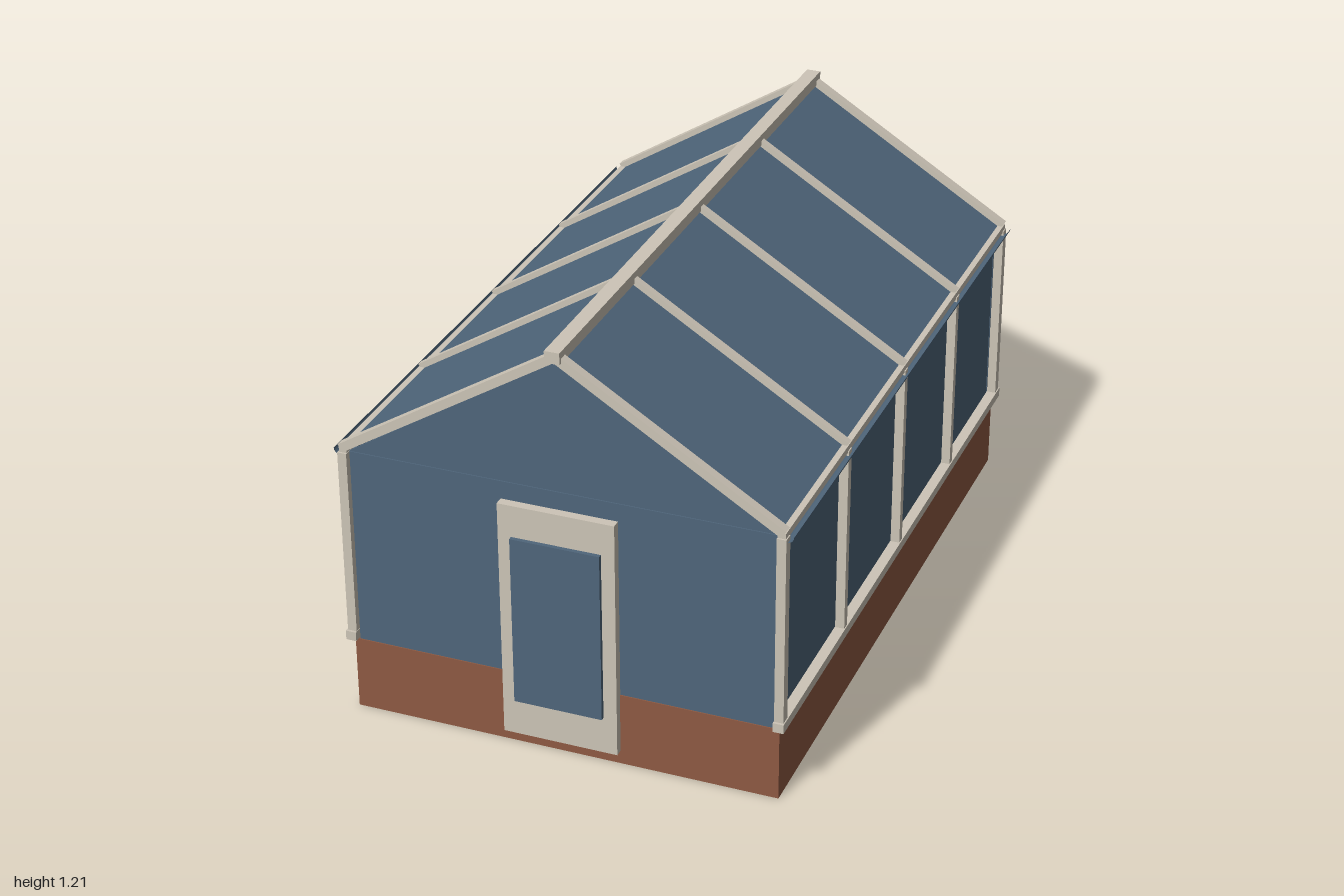
import * as THREE from 'three';

const glass = new THREE.MeshStandardMaterial({ color: 0x4f667b, side: THREE.DoubleSide });
glass.name = 'blue glass';
const brick = new THREE.MeshStandardMaterial({ color: 0x8f5a43 });
brick.name = 'brick red';
const frame = new THREE.MeshStandardMaterial({ color: 0xcdc5b7 });
frame.name = 'cream frame';

const MID = -0.0075;                       // middle of the house along z
const BAYS = [-0.97, -0.486, 0, 0.486, 0.97];
const RIDGE_Y = 1.19, EAVE_X = 0.617, EAVE_Y = 0.808;
const PITCH = Math.atan2(RIDGE_Y - EAVE_Y, EAVE_X);
const SLOPE = Math.hypot(RIDGE_Y - EAVE_Y, EAVE_X);

export function createModel() {
  const house = new THREE.Group();
  house.name = 'greenhouse';

  function add(name, geometry, material, x = 0, y = 0, z = 0) {
    const mesh = new THREE.Mesh(geometry, material);
    mesh.name = name;
    mesh.position.set(x, y, z);
    house.add(mesh);
    return mesh;
  }

  // Box given by its limits on each axis
  function box(name, material, [x0, x1], [y0, y1], [z0, z1]) {
    return add(name, new THREE.BoxGeometry(x1 - x0, y1 - y0, z1 - z0), material,
      (x0 + x1) / 2, (y0 + y1) / 2, (z0 + z1) / 2);
  }

  // Bar or sheet lying along one roof slope
  function sloped(name, material, side, thick, depth, z, drop = 0) {
    const mesh = add(name, new THREE.BoxGeometry(SLOPE, thick, depth), material,
      side * (EAVE_X / 2 - drop * Math.sin(PITCH)),
      (RIDGE_Y + EAVE_Y) / 2 - drop * Math.cos(PITCH), z);
    mesh.rotation.z = -side * PITCH;
  }

  // Hollow brick base, open underneath
  const back = -0.975, front = 0.965, wall = 0.008;
  box('baseFront', brick, [-0.61, 0.61], [0, 0.216], [front - wall, front]);
  box('baseBack', brick, [-0.61, 0.61], [0, 0.216], [back, back + wall]);
  for (const s of [-1, 1]) {
    add('baseSide', new THREE.BoxGeometry(wall, 0.216, front - back - 2 * wall), brick,
      s * (0.61 - wall / 2), 0.108, (front + back) / 2);
  }
  box('floor', glass, [-0.602, 0.602], [0.208, 0.216], [back + wall, front - wall]);
  const bulge = add('floorBulge', new THREE.SphereGeometry(0.055, 20, 12), glass, -0.45, 0.21, 0.77);
  bulge.scale.y = 0.4;

  // End walls: a rectangle with a gable triangle above
  const gable = new THREE.Shape([
    new THREE.Vector2(-0.597, 0.798), new THREE.Vector2(0.597, 0.798), new THREE.Vector2(0, 1.178),
  ]);
  for (const z of [back + 0.003, front - 0.011]) {
    box('endGlass', glass, [-0.597, 0.597], [0.216, 0.796], [z, z + 0.008]);
    add('gableGlass', new THREE.ExtrudeGeometry(gable, { depth: 0.008, bevelEnabled: false }), glass, 0, 0, z);
  }

  // Sides and roof slopes, mirrored
  for (const s of [-1, 1]) {
    add('sideGlass', new THREE.BoxGeometry(0.006, 0.56, 1.9), glass, s * 0.594, 0.515, MID);
    add('sill', new THREE.BoxGeometry(0.03, 0.027, 1.985), frame, s * 0.613, 0.2335, MID);
    add('eaveBar', new THREE.BoxGeometry(0.022, 0.02, 1.96), frame, s * 0.611, 0.801, MID);
    sloped('roofGlass', glass, s, 0.004, 1.945, MID, 0.006);

    BAYS.forEach((z, i) => {
      const end = i === 0 || i === 4;
      add('post', new THREE.BoxGeometry(0.026, 0.575, end ? 0.03 : 0.024), frame, s * 0.612, 0.508, MID + z);
      sloped('rafter', frame, s, 0.025, end ? 0.026 : 0.02, MID + z);
    });

    // Half-round gutter, open at the top
    const trough = new THREE.CylinderGeometry(0.018, 0.018, 1.945, 8, 1, true, -Math.PI / 2, Math.PI);
    trough.rotateX(Math.PI / 2);
    add('gutter', trough, glass, s * 0.623, 0.8, MID);
  }
  box('ridgeBeam', frame, [-0.021, 0.021], [1.178, 1.211], [-1, 0.985]);

  // Door on the front
  box('doorFrame', frame, [-0.164, 0.164], [0.04, 0.744], [0.958, 0.988]);
  box('doorGlass', glass, [-0.126, 0.126], [0.15, 0.651], [0.987, 1]);

  return house;
}
